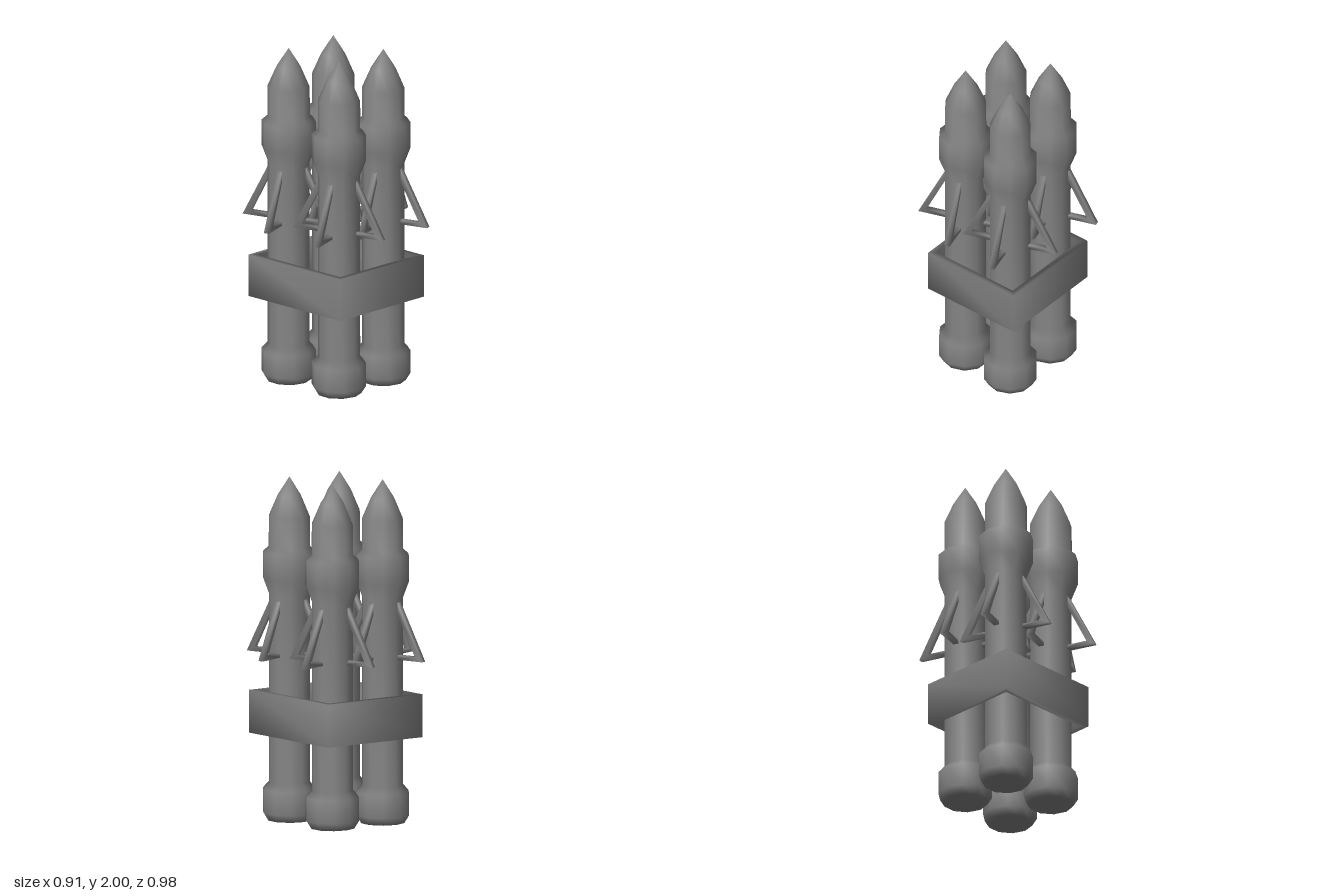
import * as THREE from 'three';
import { mergeVertices } from 'three/addons/utils/BufferGeometryUtils.js';

const material = new THREE.MeshStandardMaterial({ color: 0x848484 });
const vectors = (pairs) => pairs.map(([x, y]) => new THREE.Vector2(x, y));

function mesh(name, geometry) {
  const m = new THREE.Mesh(geometry, material);
  m.name = name;
  return m;
}

// Weld all corners so that shading flows across every edge
function smooth(geometry) {
  geometry.deleteAttribute('normal');
  geometry.deleteAttribute('uv');
  const welded = mergeVertices(geometry, 1e-4);
  welded.computeVertexNormals();
  return welded;
}

// Ten-sided rocket body: flared base, slim tube, bulged collar, pointed nose
function bodyGeometry() {
  const profile = vectors([
    [0, 0], [0.13, 0], [0.158, 0.045], [0.158, 0.18], [0.122, 0.22],
    [0.122, 1.315], [0.158, 1.41], [0.158, 1.56], [0.123, 1.59],
    [0.122, 1.77], [0.07, 1.89], [0, 2],
  ]);
  return smooth(new THREE.LatheGeometry(profile, 10));
}

// Open bracket fin: a sloping strut joined to a level strut at the tip
function finGeometry() {
  const depth = 0.033;
  const outline = new THREE.Shape(vectors([
    [0.1, 0.96], [0.288, 0.96], [0.1, 1.324],
    [0.1, 1.257], [0.238, 0.985], [0.1, 0.985],
  ]));
  return smooth(new THREE.ExtrudeGeometry(outline, { depth, bevelEnabled: false })
    .translate(0, 0, -depth / 2));
}

// Skewed four-sided band, open above and below
function bandGeometry() {
  const wall = 0.036;
  const corners = (inset) => vectors([
    [-0.33 + inset, -0.383 + inset * 1.1], [0.33 - inset, -0.323 + inset * 0.9],
    [0.33 - inset, 0.383 - inset * 1.1], [-0.33 + inset, 0.323 - inset * 0.9],
  ]);
  const outline = new THREE.Shape(corners(0));
  outline.holes.push(new THREE.Path(corners(wall).reverse()));
  return smooth(new THREE.ExtrudeGeometry(outline, { depth: 0.25, bevelEnabled: false })
    .rotateX(Math.PI / 2)
    .translate(0, 0.75, 0));
}

export function createModel() {
  const model = new THREE.Group();
  model.name = 'rocketCluster';
  const bodyShape = bodyGeometry();
  const finShape = finGeometry();

  // Four rockets on a slightly skewed grid
  for (const [x, z] of [[-0.173, -0.212], [0.174, -0.176], [-0.173, 0.174], [0.174, 0.208]]) {
    const rocket = new THREE.Group();
    rocket.name = 'rocket';
    rocket.position.set(x, 0, z);

    const body = mesh('rocketBody', bodyShape);
    body.rotation.y = x < 0 ? -0.04 : 0;
    rocket.add(body);

    for (let i = 0; i < 4; i++) {
      const fin = mesh('fin', finShape);
      fin.rotation.y = THREE.MathUtils.degToRad(15 + i * 90);
      rocket.add(fin);
    }
    model.add(rocket);
  }

  model.add(mesh('band', bandGeometry()));
  return model;
}
